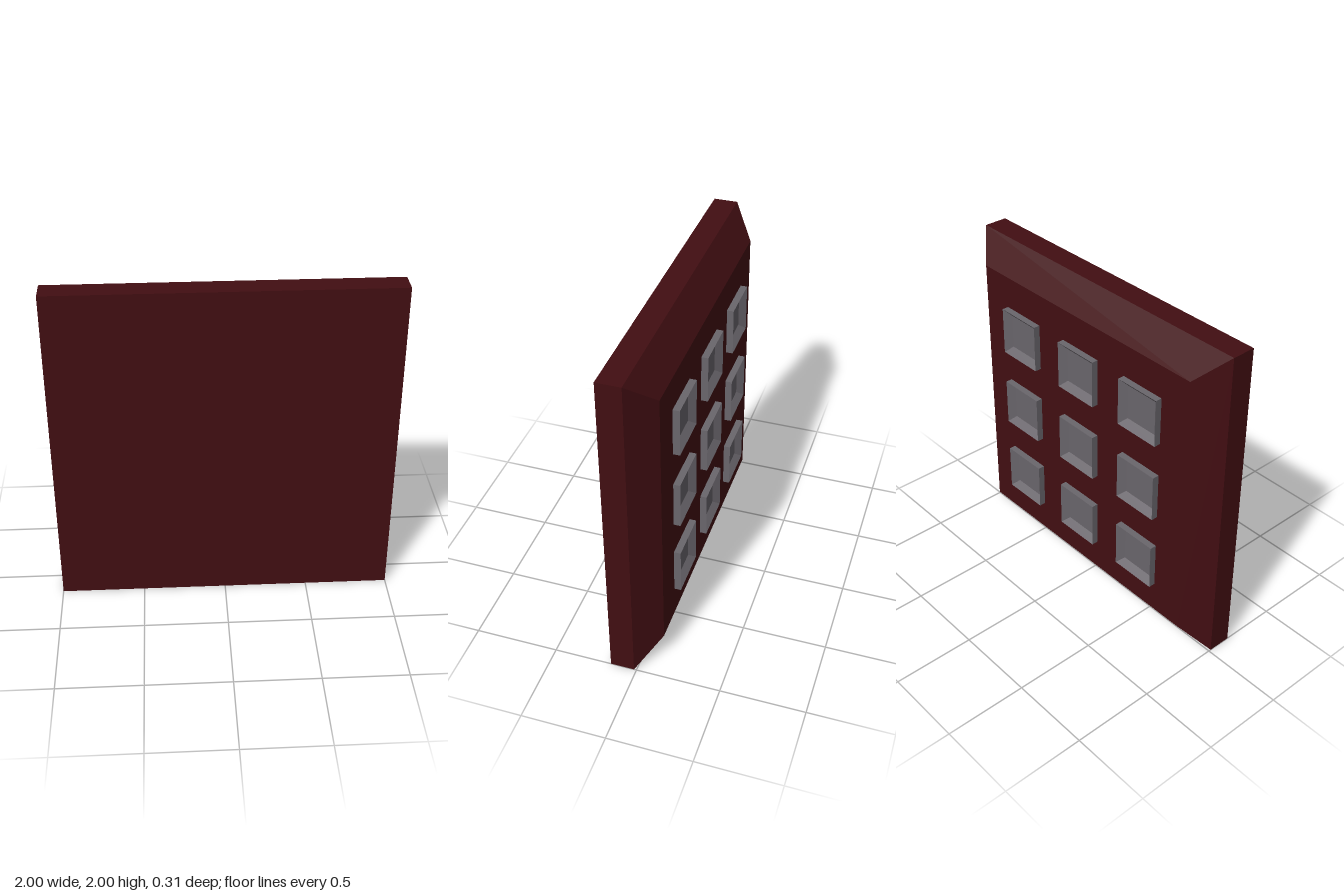
import * as THREE from 'three';

// Square solid lofted through [half width, z] rings, from front to back, with flat faces
function squareLoft(rings) {
  const points = rings.map(([half, z]) => new THREE.Vector2(half * Math.SQRT2, -z));
  const geometry = new THREE.LatheGeometry(points, 4)
    .rotateY(Math.PI / 4)
    .rotateX(-Math.PI / 2)
    .toNonIndexed();
  geometry.computeVertexNormals();
  return geometry;
}

export function createModel() {
  const model = new THREE.Group();
  model.name = 'studdedPanel';
  const panelMaterial = new THREE.MeshStandardMaterial({ color: 0x420e12 });
  const studMaterial = new THREE.MeshStandardMaterial({ color: 0x6a666c });

  // Square slab with a bevelled back
  const panel = new THREE.Mesh(
    squareLoft([[0, 0.156], [1, 0.156], [1, 0.015], [0.84, -0.116], [0, -0.116]]),
    panelMaterial
  );
  panel.name = 'panel';
  panel.position.y = 1;
  model.add(panel);

  // Nine raised square studs, each with a sloping dished face
  const studGeometry = squareLoft([[0.145, -0.116], [0.145, -0.156], [0.105, -0.119], [0, -0.119]]);
  const studs = new THREE.Group();
  studs.name = 'studs';
  for (const x of [-0.5, 0, 0.5]) {
    for (const y of [0.5, 1, 1.5]) {
      const stud = new THREE.Mesh(studGeometry, studMaterial);
      stud.name = 'stud';
      stud.position.set(x, y, 0);
      studs.add(stud);
    }
  }
  model.add(studs);
  return model;
}
